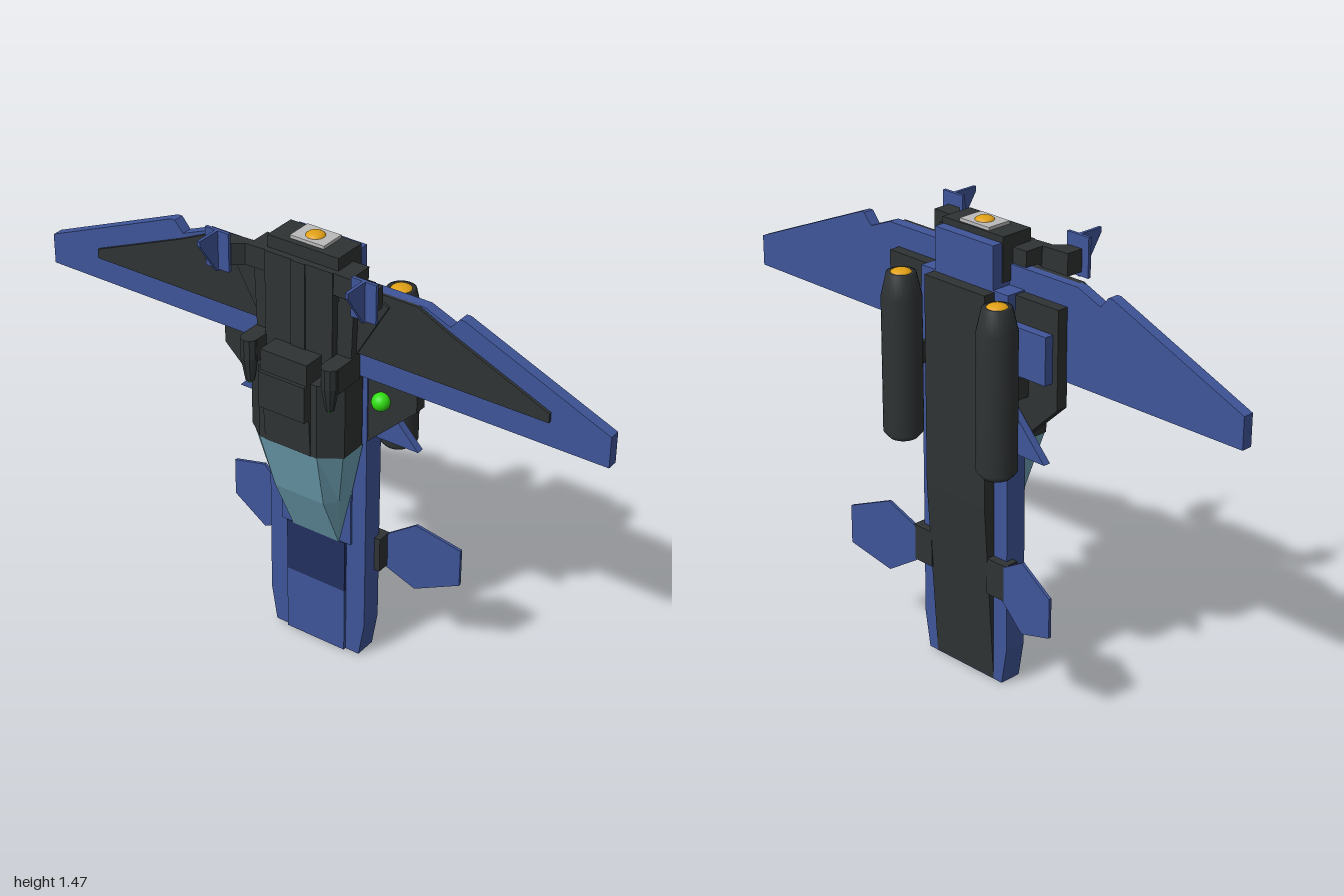
import * as THREE from 'three';

const mat = (color, opts = {}) => new THREE.MeshStandardMaterial({ color, flatShading: true, ...opts });
const blue = mat(0x3f5599), dark = mat(0x2f3334), navy = mat(0x22305f), grey = mat(0xbbbbbb);
const teal = mat(0x6fa3b5, { side: THREE.DoubleSide });
const orange = mat(0xe0a015, { flatShading: false }), green = mat(0x30dd10, { flatShading: false });
const tube = mat(0x2f3334, { flatShading: false }), tubeInside = mat(0x2f3334, { flatShading: false, side: THREE.DoubleSide });

export function createModel() {
  const model = new THREE.Group();

  const add = (name, geometry, material, x = 0, y = 0, z = 0) => {
    const mesh = new THREE.Mesh(geometry, material);
    mesh.name = name;
    mesh.position.set(x, y, z);
    model.add(mesh);
    return mesh;
  };
  // box given by its limits
  const box = (name, material, x0, x1, y0, y1, z0, z1) =>
    add(name, new THREE.BoxGeometry(Math.abs(x1 - x0), y1 - y0, z1 - z0), material,
      (x0 + x1) / 2, (y0 + y1) / 2, (z0 + z1) / 2);
  // outline in x,y extruded from z0 to z1
  const extrude = (pts, z0, z1) => {
    const shape = new THREE.Shape(pts.map(p => new THREE.Vector2(p[0], p[1])));
    return new THREE.ExtrudeGeometry(shape, { depth: z1 - z0, bevelEnabled: false }).translate(0, 0, z0);
  };
  const plate = (name, material, pts, z0, z1) => add(name, extrude(pts, z0, z1), material);
  // right half outline mirrored into a closed symmetric one
  const mirrored = half => [...half, ...half.map(([x, y]) => [-x, y]).reverse()];
  // outline in z,y extruded across x from x0 to x1
  const profile = (name, material, pts, x0, x1) =>
    add(name, extrude(pts.map(([z, y]) => [-z, y]), x0, x1).rotateY(Math.PI / 2), material);
  const lathe = (pts, sides) => new THREE.LatheGeometry(pts.map(p => new THREE.Vector2(p[0], p[1])), sides);

  // Fuselage
  plate('fuselage', blue, mirrored([[0.16, 0], [0.18, 0.12], [0.18, 1.285], [0.12, 1.285], [0.12, 1.42]]), -0.085, -0.01);
  box('nosePlate', blue, -0.11, 0.11, 0, 0.23, -0.01, 0);
  box('nosePanel', navy, -0.11, 0.11, 0.23, 0.415, -0.01, 0);
  box('noseDeck', blue, -0.13, 0.13, 0.415, 0.8, -0.01, -0.002);
  profile('backPlate', dark, [[-0.08, 0.002], [-0.085, 0.002], [-0.105, 0.3], [-0.125, 0.6], [-0.125, 1.28], [-0.08, 1.28]], -0.125, 0.125);
  box('noseSocket', dark, -0.13, 0.13, -0.002, 0.01, -0.075, -0.015);

  // Canopy, lofted through cross-sections: half base, half shoulder, shoulder z, half crown, crown z
  const rings = [
    [0.8, 0.17, 0.165, 0.09, 0.105, 0.14],
    [0.6, 0.13, 0.12, 0.045, 0.09, 0.085],
    [0.412, 0.088, 0.087, 0, 0.086, 0],
  ].map(([y, b, s, sz, c, cz]) => [[-b, y, -0.005], [-s, y, sz], [-c, y, cz], [c, y, cz], [s, y, sz], [b, y, -0.005]]);
  const canopy = [];
  for (let r = 0; r < 2; r++) {
    for (let i = 0; i < 5; i++) {
      const a = rings[r][i], b = rings[r][i + 1], c = rings[r + 1][i + 1], d = rings[r + 1][i];
      canopy.push(...a, ...d, ...c, ...a, ...c, ...b);
    }
  }
  const canopyGeometry = new THREE.BufferGeometry();
  canopyGeometry.setAttribute('position', new THREE.Float32BufferAttribute(canopy, 3));
  canopyGeometry.computeVertexNormals();
  add('canopy', canopyGeometry, teal);

  // Cabin block behind the canopy, chamfered at the front corners
  const cabin = mirrored([[0.17, 0], [0.17, -0.09], [0.105, -0.14]]);
  add('cabin', extrude(cabin, 0.8, 1.05).rotateX(-Math.PI / 2), dark);
  profile('cabinRidge', dark, [[0.02, 0.8], [0.142, 0.8], [0.15, 0.93], [0.172, 0.93], [0.172, 1.05], [0.16, 1.05], [0.16, 1.12], [0.02, 1.12]], -0.083, 0.083);

  // Rear deck and tail engine
  profile('rearDeck', dark, [[-0.02, 1.05], [0.085, 1.05], [0.085, 1.4], [-0.02, 1.4]], -0.12, 0.12);
  box('rearStrip', dark, -0.025, 0.025, 1.1, 1.4, 0.08, 0.089);
  plate('rearShoulders', dark, mirrored([[0.15, 1.05], [0.17, 1.13], [0.18, 1.4]]), -0.01, 0.06);
  box('tailBlock', dark, -0.125, 0.125, 1.3, 1.44, -0.05, 0.063);
  box('tailPlate', grey, -0.06, 0.06, 1.44, 1.45, -0.043, 0.043);
  add('tailLight', new THREE.SphereGeometry(0.03, 24, 12).scale(1, 0.45, 1), orange, 0, 1.448, 0);

  // Wide plate behind the wings
  plate('bodyPlate', dark, mirrored([[0.17, 0.8], [0.35, 0.97], [0.35, 1.28]]), -0.055, -0.015);

  for (const s of [1, -1]) {
    const flip = pts => pts.map(([x, y]) => [s * x, y]);

    // Wing with its dark inlay
    plate('wing', blue, flip([[0, 1.05], [1, 1.05], [1, 1.15], [0.52, 1.35], [0.505, 1.35], [0.475, 1.315], [0.39, 1.35], [0, 1.35]]), -0.018, 0.018);
    plate('wingInlay', dark, flip([[0, 1.13], [0.81, 1.13], [0.81, 1.16], [0.475, 1.3], [0.37, 1.35], [0, 1.35]]), 0.01, 0.028);
    plate('wingRoot', dark, flip([[0.1, 1.13], [0.17, 1.13], [0.28, 1.32], [0.19, 1.35], [0.1, 1.35]]), 0.01, 0.036);

    // Swept blade behind the cabin
    plate('sweptBlade', blue, flip([[0.15, 0.8], [0.33, 0.8], [0.17, 0.97]]), -0.085, -0.06);
    plate('bladeBrace', blue, flip([[0.15, 1.05], [0.33, 1.05], [0.33, 1.2], [0.15, 1.2]]), -0.085, -0.05);

    // Side light
    add('sideLight', new THREE.SphereGeometry(0.029, 24, 16), green, s * 0.233, 0.972, -0.003);

    // Gun beside the cabin
    add('gun', lathe([[0, 0.98], [0.014, 0.98], [0.028, 1.06], [0.028, 1.125], [0, 1.125]], 10), dark, s * 0.145, 0, 0.13);
    box('gunMount', dark, s * 0.117, s * 0.173, 1.04, 1.125, 0.02, 0.13);
    add('gunTip', new THREE.SphereGeometry(0.01, 12, 8), green, s * 0.145, 0.98, 0.13);

    // Tail fin on its bracket
    const bracket = [[0.1, -0.05], [0.275, -0.06], [0.275, -0.12], [0.23, -0.12], [0.19, -0.085], [0.1, -0.08]];
    add('finBracket', extrude(flip(bracket), 1.33, 1.4).rotateX(-Math.PI / 2), dark);
    box('finBase', blue, s * 0.215, s * 0.3, 1.315, 1.44, 0.119, 0.13);
    profile('tailFin', blue, [[0.125, 1.31], [0.135, 1.31], [0.213, 1.425], [0.213, 1.44], [0.125, 1.44]], s * 0.258 - 0.005, s * 0.258 + 0.005);

    // Rear engine pod, open nozzle below and glow above
    const pod = [[0, 0.78], [0.03, 0.78], [0.036, 0.745], [0.045, 0.745], [0.062, 0.765], [0.062, 1.2], [0.045, 1.275], [0.034, 1.275], [0, 1.268]];
    const podMesh = add('enginePod', lathe(pod, 28), tubeInside, s * 0.2, 0, -0.148);
    podMesh.material = tubeInside;
    add('nozzleCore', new THREE.CylinderGeometry(0.016, 0.016, 0.03, 16), tube, s * 0.2, 0.77, -0.148);
    add('engineGlow', new THREE.SphereGeometry(0.033, 24, 12).scale(1, 0.4, 1), orange, s * 0.2, 1.272, -0.148);
    box('engineMount', dark, s * 0.16, s * 0.235, 0.98, 1.05, -0.12, -0.03);

    // Hexagonal stabiliser, tilted backwards toward its tip
    const hex = extrude(flip([[0.185, 0.31], [0.29, 0.245], [0.433, 0.3], [0.433, 0.43], [0.29, 0.485], [0.185, 0.42]]), -0.005, 0.005);
    const p = hex.attributes.position;
    for (let i = 0; i < p.count; i++) p.setZ(i, p.getZ(i) - 0.105 - (Math.abs(p.getX(i)) - 0.185) * 0.22);
    hex.computeVertexNormals();
    add('stabiliser', hex, blue);
    box('stabiliserMount', dark, s * 0.12, s * 0.2, 0.31, 0.43, -0.112, -0.06);

    // Nose lamp
    box('noseLamp', green, s * 0.015, s * 0.085, -0.004, 0.01, -0.062, -0.025);
  }

  return model;
}
